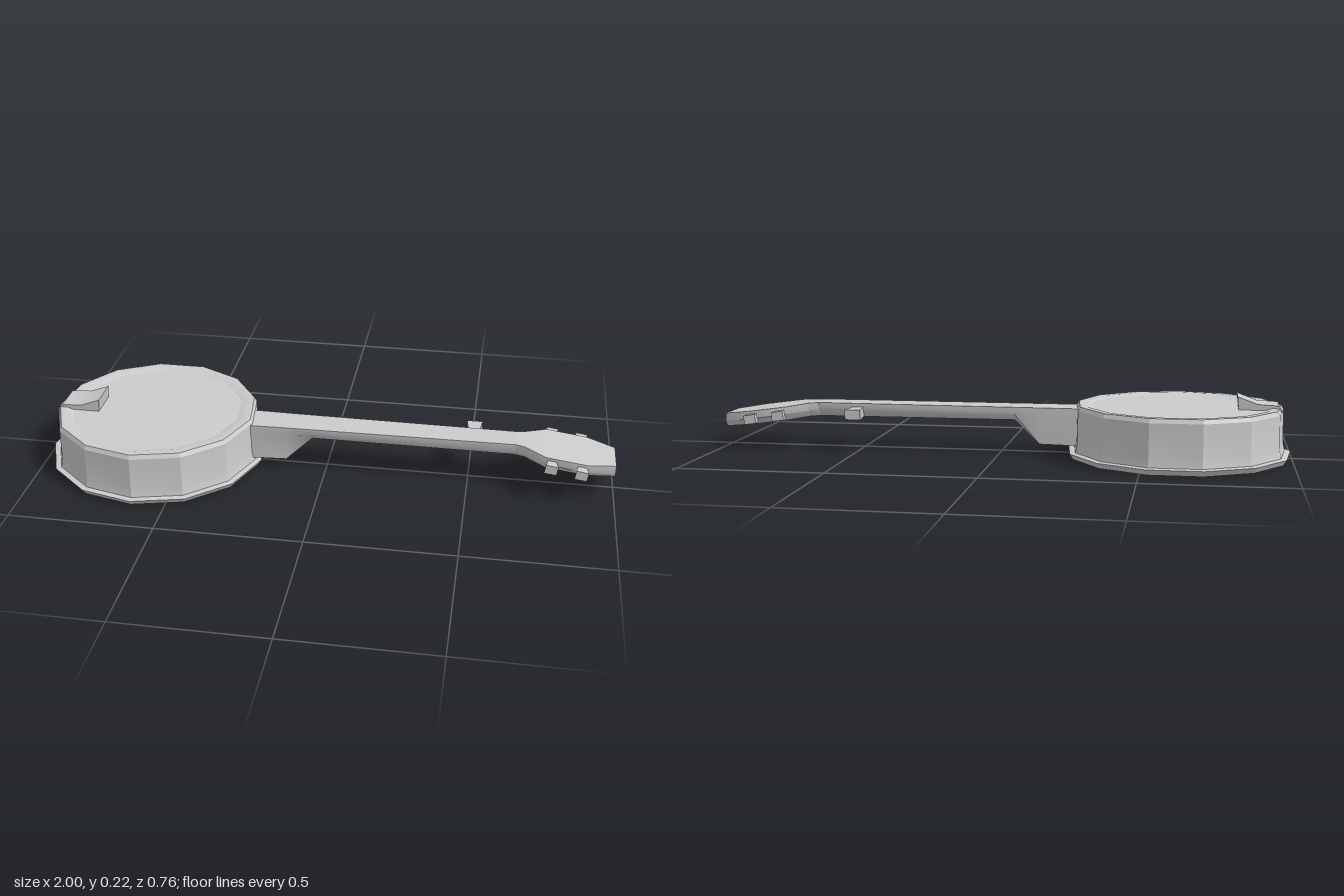
import * as THREE from 'three';
import { toCreasedNormals } from 'three/addons/utils/BufferGeometryUtils.js';

const material = new THREE.MeshStandardMaterial({ color: 0xcccccc });

function addPart(parent, name, geometry, crease = 0.4) {
  const mesh = new THREE.Mesh(toCreasedNormals(geometry, crease), material);
  mesh.name = name;
  parent.add(mesh);
  return mesh;
}

// Thirteen-sided turned part around the drum axis
function turned(points) {
  const profile = points.map(([r, y]) => new THREE.Vector2(r, y));
  return new THREE.LatheGeometry(profile, 13).translate(-0.615, 0, -0.004);
}

// Skin six-sided sections [x, top, shoulder, bottom, half width, bottom half width] along x
function loft(sections, z0) {
  const positions = [];
  const indices = [];
  const n = 6;
  for (const [x, top, mid, bottom, w, b] of sections) {
    const ring = [[w, top], [-w, top], [-w, mid], [-b, bottom], [b, bottom], [w, mid]];
    for (const [z, y] of ring) positions.push(x, y, z + z0);
  }
  for (let i = 0; i < sections.length - 1; i++) {
    for (let j = 0; j < n; j++) {
      const a = i * n + j;
      const b = i * n + (j + 1) % n;
      indices.push(a, a + n, b, b, a + n, b + n);
    }
  }
  const last = (sections.length - 1) * n;
  for (let j = 1; j < n - 1; j++) {
    indices.push(0, j, j + 1, last, last + j + 1, last + j);
  }
  const geometry = new THREE.BufferGeometry();
  geometry.setAttribute('position', new THREE.Float32BufferAttribute(positions, 3));
  geometry.setIndex(indices);
  return geometry;
}

export function createModel() {
  const model = new THREE.Group();
  model.name = 'banjo';

  // Drum: back plate, side wall and tension rim around a slightly sunken skin
  const drum = new THREE.Group();
  drum.name = 'drum';
  model.add(drum);
  addPart(drum, 'backPlate', turned([[0, 0], [0.374, 0], [0.386, 0.019], [0.35, 0.024]]));
  addPart(drum, 'drumWall', turned([[0.366, 0.022], [0.36, 0.05], [0.358, 0.165]]));
  addPart(drum, 'tensionRim', turned([[0.358, 0.165], [0.35, 0.179], [0.325, 0.179], [0.303, 0.172]]));
  addPart(drum, 'skin', turned([[0.303, 0.172], [0, 0.172]]));

  // Tailpiece wedge rising toward the strings
  const wedge = new THREE.Shape([
    [-0.965, 0.165], [-0.95, 0.188], [-0.88, 0.192], [-0.812, 0.217], [-0.816, 0.17],
  ].map(([x, y]) => new THREE.Vector2(x, y)));
  addPart(drum, 'tailpiece',
    new THREE.ExtrudeGeometry(wedge, { depth: 0.112, bevelEnabled: false }).translate(0, 0, -0.06));

  // Neck with a deep heel against the drum
  addPart(model, 'neck', loft([
    [-0.29, 0.163, 0.12, 0.033, 0.058, 0.056],
    [-0.14, 0.163, 0.135, 0.035, 0.055, 0.05],
    [-0.05, 0.163, 0.14, 0.115, 0.054, 0.028],
    [0.66, 0.163, 0.138, 0.113, 0.047, 0.026],
  ], -0.004), 0.9);

  // Flared headstock, bent downward
  addPart(model, 'headstock', loft([
    [0.655, 0.163, 0.138, 0.113, 0.047, 0.026],
    [0.69, 0.161, 0.135, 0.111, 0.056, 0.035],
    [0.76, 0.152, 0.125, 0.102, 0.1, 0.08],
    [0.9, 0.133, 0.105, 0.083, 0.1, 0.08],
    [0.998, 0.119, 0.09, 0.071, 0.064, 0.05],
  ], -0.005), 0.7);

  // Four tuning pegs, widening outward
  const peg = (w0, w1, h, length) => {
    const g = new THREE.BoxGeometry(1, h, length);
    const p = g.attributes.position;
    for (let i = 0; i < p.count; i++) p.setX(i, p.getX(i) * (p.getZ(i) > 0 ? w1 : w0));
    return g;
  };
  for (const side of [1, -1]) {
    [0.78, 0.882].forEach((x, i) => {
      const mesh = addPart(model, 'tuningPeg', peg(0.022, 0.042, 0.032, 0.06));
      mesh.position.set(x, 0.123 - i * 0.014, -0.006 + side * 0.104);
      mesh.rotation.set(0, side > 0 ? 0 : Math.PI, side * -0.14);
    });
  }

  // Short fifth-string peg on the side of the neck
  const drone = addPart(model, 'fifthStringPeg', peg(0.035, 0.055, 0.035, 0.085));
  drone.position.set(0.51, 0.133, -0.085);
  drone.rotation.y = Math.PI;

  return model;
}
